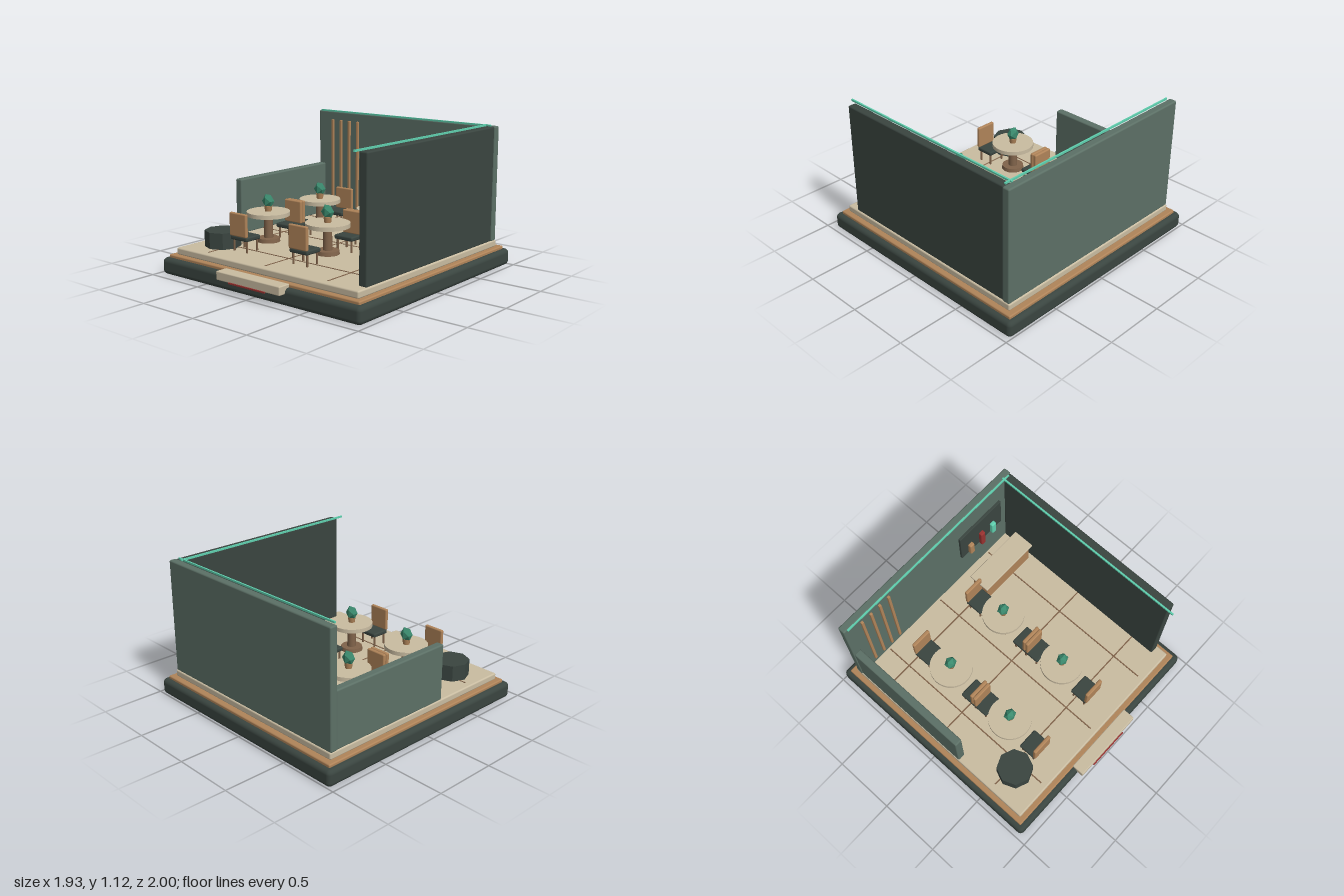
import * as THREE from 'three';
import { RoundedBoxGeometry } from 'three/addons/geometries/RoundedBoxGeometry.js';

const mat = (name, color, flatShading = false) => {
  const m = new THREE.MeshStandardMaterial({ color, flatShading });
  m.name = name;
  return m;
};

export function createModel() {
  const dark = mat('charcoal green', 0x3a4540);
  const darkFlat = dark.clone();
  darkFlat.flatShading = true;
  const sage = mat('sage', 0x5c7066);
  const cream = mat('cream', 0xc9bca1);
  const copper = mat('copper', 0xb08459);
  const walnut = mat('walnut', 0x80634a);
  const mint = mat('mint', 0x5fcfae);
  const red = mat('red', 0x983230);
  const leaf = mat('leaf green', 0x3b8a6e, true);

  const root = new THREE.Group();
  root.name = 'cafe';

  const add = (parent, name, geo, material, x, y, z) => {
    const m = new THREE.Mesh(geo, material);
    m.name = name;
    m.position.set(x, y, z);
    parent.add(m);
    return m;
  };
  // Box given by its min/max on each axis, rounded when r > 0
  const box = (parent, name, material, [x0, x1], [y0, y1], [z0, z1], r = 0) => {
    const w = x1 - x0, h = y1 - y0, d = z1 - z0;
    const geo = r ? new RoundedBoxGeometry(w, h, d, 3, r) : new THREE.BoxGeometry(w, h, d);
    return add(parent, name, geo, material, (x0 + x1) / 2, (y0 + y1) / 2, (z0 + z1) / 2);
  };
  const cyl = (parent, name, material, rTop, rBottom, y0, y1, x = 0, z = 0, sides = 32) =>
    add(parent, name, new THREE.CylinderGeometry(rTop, rBottom, y1 - y0, sides), material, x, (y0 + y1) / 2, z);

  // Layered plinth and entrance step
  box(root, 'base', dark, [-0.965, 0.965], [0, 0.13], [-1, 0.935], 0.035);
  box(root, 'baseTrim', copper, [-0.925, 0.925], [0.12, 0.153], [-0.96, 0.892], 0.01);
  box(root, 'floor', cream, [-0.885, 0.885], [0.15, 0.205], [-0.915, 0.852], 0.012);
  box(root, 'step', cream, [-0.31, 0.31], [0.088, 0.155], [0.885, 0.99], 0.008);
  box(root, 'stepStripe', red, [-0.178, 0.175], [0.084, 0.095], [0.982, 1.0]);

  // Floor seams
  for (const x of [-0.585, -0.002, 0.58])
    box(root, 'floorSeam', walnut, [x - 0.005, x + 0.005], [0.203, 0.208], [-0.83, 0.8]);
  for (const z of [-0.62, -0.037, 0.545])
    box(root, 'floorSeam', walnut, [-0.83, 0.83], [0.203, 0.208], [z - 0.005, z + 0.005]);

  // Walls and glowing edge strips
  box(root, 'backWall', sage, [-0.885, 0.882], [0.2, 1.11], [-0.908, -0.846], 0.012);
  box(root, 'leftWall', dark, [0.806, 0.875], [0.2, 1.11], [-0.85, 0.752], 0.012);
  box(root, 'lowWall', sage, [-0.88, -0.816], [0.2, 0.648], [-0.85, 0.21], 0.012);
  box(root, 'backGlowStrip', mint, [-0.853, 0.85], [1.108, 1.122], [-0.844, -0.832]);
  box(root, 'sideGlowStrip', mint, [0.794, 0.807], [1.108, 1.122], [-0.855, 0.8]);

  // Wall slats
  for (let i = 0; i < 4; i++) {
    const x = -0.724 + i * 0.09;
    box(root, 'wallSlat', copper, [x - 0.011, x + 0.011], [0.285, 1.04], [-0.85, -0.828], 0.004);
  }

  // Display panel with bottles
  box(root, 'displayPanel', dark, [0.283, 0.743], [0.556, 0.87], [-0.85, -0.825], 0.006);
  [[0.38, 0.556, 0.688, copper], [0.505, 0.536, 0.705, red], [0.63, 0.556, 0.688, mint]].forEach(([x, y0, y1, m]) =>
    box(root, 'bottle', m, [x - 0.023, x + 0.023], [y0, y1], [-0.834, -0.794], 0.012));

  // Service counter
  box(root, 'counterBody', copper, [0.265, 0.765], [0.222, 0.437], [-0.7, -0.54], 0.012);
  box(root, 'counterTop', cream, [0.243, 0.784], [0.434, 0.455], [-0.708, -0.524], 0.006);

  // Eight-sided planter
  cyl(root, 'planter', darkFlat, 0.14, 0.14, 0.205, 0.332, -0.65, 0.585, 8);

  // Chair facing its table: local +z points away from the table
  const chair = () => {
    const g = new THREE.Group();
    g.name = 'chair';
    box(g, 'seat', dark, [-0.086, 0.086], [0.293, 0.328], [0.177, 0.33], 0.012);
    box(g, 'backrest', copper, [-0.086, 0.086], [0.325, 0.505], [0.309, 0.338], 0.01);
    for (const x of [-0.066, 0.066])
      for (const z of [0.198, 0.306]) cyl(g, 'chairLeg', walnut, 0.008, 0.008, 0.205, 0.3, x, z, 8);
    return g;
  };

  // Table sets: round table, plant and two chairs
  for (const x of [-0.415, 0.182])
    for (const z of [-0.293, 0.322]) {
      const set = new THREE.Group();
      set.name = 'tableSet';
      set.position.set(x, 0, z);
      cyl(set, 'tableTop', cream, 0.168, 0.168, 0.434, 0.466);
      cyl(set, 'tableStem', walnut, 0.032, 0.036, 0.25, 0.436, 0, 0, 16);
      cyl(set, 'tableFoot', walnut, 0.085, 0.09, 0.228, 0.258);
      cyl(set, 'plantPot', copper, 0.032, 0.026, 0.466, 0.51, 0, 0, 12);
      const plant = add(set, 'plant', new THREE.IcosahedronGeometry(0.054, 0), leaf, 0, 0.545, 0);
      plant.scale.set(0.95, 1.1, 0.82);
      const front = chair();
      const back = chair();
      back.rotation.y = Math.PI;
      set.add(front, back);
      root.add(set);
    }

  return root;
}
